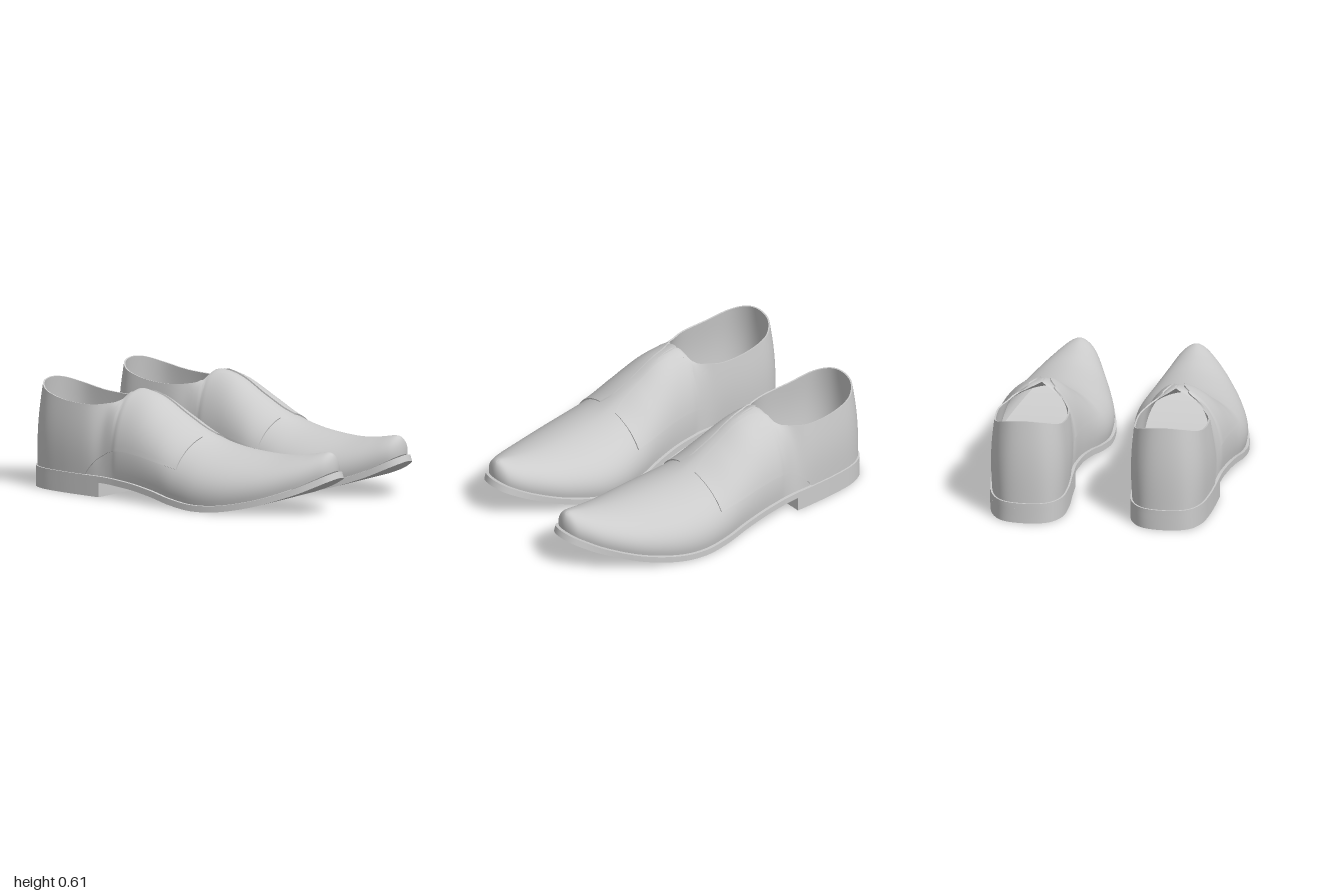
import * as THREE from 'three';
import { mergeVertices, toCreasedNormals } from 'three/addons/utils/BufferGeometryUtils.js';

// Stations from heel to toe. Lower edge of the upper: x, y, inner z, outer z
const LOWER = [
  [-0.985, 0.12, 0.4, 0.4], [-0.96, 0.12, 0.28, 0.52], [-0.87, 0.12, 0.215, 0.585],
  [-0.72, 0.12, 0.197, 0.615], [-0.55, 0.12, 0.2, 0.63], [-0.45, 0.12, 0.2, 0.635],
  [-0.38, 0.118, 0.2, 0.64], [-0.33, 0.115, 0.195, 0.645], [-0.2, 0.105, 0.178, 0.662],
  [-0.05, 0.083, 0.145, 0.683], [0.09, 0.055, 0.108, 0.703], [0.25, 0.037, 0.075, 0.71],
  [0.42, 0.047, 0.075, 0.685], [0.62, 0.09, 0.122, 0.62], [0.8, 0.155, 0.183, 0.53],
  [0.91, 0.21, 0.23, 0.452], [0.957, 0.238, 0.272, 0.402], [0.975, 0.25, 0.335, 0.335],
];
// Collar rim, then tongue and vamp ridge: x, y, inner z, outer z
const UPPER = [
  [-0.955, 0.61, 0.4, 0.4], [-0.935, 0.597, 0.3, 0.5], [-0.86, 0.563, 0.227, 0.573],
  [-0.72, 0.53, 0.205, 0.6], [-0.56, 0.52, 0.205, 0.6], [-0.46, 0.528, 0.235, 0.56],
  [-0.39, 0.545, 0.28, 0.515], [-0.345, 0.605, 0.385, 0.385], [-0.2, 0.572, 0.385, 0.385],
  [-0.05, 0.487, 0.385, 0.385], [0.12, 0.395, 0.385, 0.385], [0.25, 0.347, 0.385, 0.385],
  [0.42, 0.322, 0.375, 0.375], [0.62, 0.315, 0.36, 0.36], [0.79, 0.333, 0.345, 0.345],
  [0.89, 0.352, 0.337, 0.337], [0.93, 0.356, 0.335, 0.335], [0.95, 0.348, 0.335, 0.335],
];
const N = 2 * (LOWER.length - 1);

// Closed rail: heel, along the inner side to the toe, back along the outer side
function rail(rows) {
  const inner = rows.map(([x, y, zi]) => new THREE.Vector3(x, y, zi));
  const outer = rows.slice(1, -1).reverse().map(([x, y, , zo]) => new THREE.Vector3(x, y, zo));
  return new THREE.CatmullRomCurve3([...inner, ...outer], true, 'catmullrom', 0.5);
}
const lower = rail(LOWER), upper = rail(UPPER);
const wrap = t => ((t % 1) + 1) % 1;

// Piecewise linear lookup
function lookup(table, x) {
  if (x <= table[0][0]) return table[0][1];
  for (let i = 1; i < table.length; i++) {
    const [x0, y0] = table[i - 1], [x1, y1] = table[i];
    if (x <= x1) return y0 + (y1 - y0) * (x - x0) / (x1 - x0);
  }
  return table[table.length - 1][1];
}

// Point on the upper: straight walls at the heel, rounded arch over the foot
function skin(t, v) {
  const b = lower.getPoint(wrap(t)), top = upper.getPoint(wrap(t));
  const r = THREE.MathUtils.smoothstep(b.x, -0.5, -0.33);
  const a = v * Math.PI / 2;
  const side = (1 - r) * (1 - v) + r * (Math.cos(a) + 0.14 * Math.sin(Math.PI * v) * (1 - v));
  const rise = (1 - r) * v + r * Math.sin(a);
  const swell = 0.012 * (1 - r) * Math.sin(Math.PI * v);
  const p = new THREE.Vector3(
    top.x + (b.x - top.x) * side, b.y + (top.y - b.y) * rise, top.z + (b.z - top.z) * side);
  const n = outward(t);
  return p.addScaledVector(n, swell);
}

// Horizontal outward direction of the lower rail
function outward(t) {
  const d = lower.getTangent(wrap(t));
  return new THREE.Vector3(d.z, 0, -d.x).normalize();
}

function skinOffset(t, v, d) {
  const w = THREE.MathUtils.clamp(v, 0.02, 0.97), e = 0.002;
  const du = skin(t + e, w).sub(skin(t - e, w));
  const dv = skin(t, w + 0.01).sub(skin(t, w - 0.01));
  return skin(t, v).addScaledVector(dv.cross(du).normalize(), d);
}

function solve(f) {
  let a = 0, b = 1;
  for (let i = 0; i < 18; i++) {
    const m = (a + b) / 2;
    if (f(m)) a = m; else b = m;
  }
  return (a + b) / 2;
}

// Surface through a grid of points
function grid(nu, nv, fn) {
  const pos = [], idx = [];
  for (let i = 0; i <= nu; i++) for (let j = 0; j <= nv; j++) pos.push(...fn(i, j).toArray());
  for (let i = 0; i < nu; i++) for (let j = 0; j < nv; j++) {
    const a = i * (nv + 1) + j, b = a + nv + 1;
    idx.push(a, a + 1, b, b, a + 1, b + 1);
  }
  const g = new THREE.BufferGeometry();
  g.setAttribute('position', new THREE.Float32BufferAttribute(pos, 3));
  g.setIndex(idx);
  return mergeVertices(g, 1e-4);
}

// Vamp, tongue and lining
function upperGeometry() {
  const g = grid(204, 18, (i, j) => skin(i / 204, j / 18));
  g.computeVertexNormals();
  return g;
}

// Overlaid quarter panel that wraps the heel and forms both lace facings
const SEAM = [[-0.56, 0], [-0.555, 0.125], [-0.53, 0.16], [-0.48, 0.21], [-0.4, 0.26], [-0.34, 0.277],
  [-0.27, 0.28], [-0.15, 0.268], [0.15, 0.215]];
const GAP = [[-0.38, 0], [-0.33, 0.075], [-0.27, 0.045], [-0.2, 0.03], [-0.05, 0.03], [0.05, 0.042],
  [0.12, 0.075]];
function quarterGeometry() {
  const nu = 162, nv = 18, end = 10.15 / N;
  const limits = [];
  return toCreasedNormals(grid(nu, nv, (i, j) => {
    const k = THREE.MathUtils.clamp((i - 1) / (nu - 2), 0, 1);
    const t = (2 * k - 1) * end;
    if (!limits[i]) {
      const x = lower.getPoint(wrap(t)).x, zTop = upper.getPoint(wrap(t)).z;
      const seam = lookup(SEAM, x), gap = lookup(GAP, x);
      limits[i] = [
        seam < 0.122 ? 0 : solve(v => skin(t, v).y < seam),
        gap < 0.002 ? 1 : solve(v => Math.abs(skin(t, v).z - zTop) > gap),
      ];
    }
    const [lo, hi] = limits[i];
    const v = lo + (hi - lo) * THREE.MathUtils.clamp((j - 1) / (nv - 2), 0, 1);
    const edge = i === 0 || i === nu || j === 0 || j === nv;
    return skinOffset(t, v, edge ? -0.001 : 0.008);
  }), 0.7);
}

// Outline of the sole, slightly wider than the upper
const welt = t => lower.getPoint(wrap(t)).addScaledVector(outward(t), 0.018);

function soleGeometry() {
  const n = 204, thick = 0.036;
  return toCreasedNormals(grid(n, 3, (i, j) => {
    const t = i / n, p = welt(t);
    if (j === 0 || j === 3) p.add(welt(1 - t)).multiplyScalar(0.5);
    if (j < 2) {
      p.y -= thick;
      p.x += 0.012 * THREE.MathUtils.smoothstep(p.x, 0.7, 1);
    }
    return p;
  }), 0.6);
}

// Heel block with a slanted front edge
function heelGeometry() {
  const pts = [], from = -5 / N, to = 5.43 / N;
  for (let i = 0; i <= 64; i++) {
    const p = welt(from + (to - from) * i / 64);
    pts.push(new THREE.Vector2(p.x, -p.z));
  }
  const g = new THREE.ExtrudeGeometry(new THREE.Shape(pts), { depth: 0.085, bevelEnabled: false });
  g.rotateX(-Math.PI / 2);
  return toCreasedNormals(g, 0.6);
}

export function createModel() {
  const model = new THREE.Group();
  model.name = 'pairOfShoes';
  const material = new THREE.MeshStandardMaterial({ color: 0xcccccc, side: THREE.DoubleSide });
  const parts = {
    upper: upperGeometry(), quarterPanel: quarterGeometry(),
    sole: soleGeometry(), heel: heelGeometry(),
  };
  for (const [name, mirror] of [['frontShoe', 1], ['backShoe', -1]]) {
    const shoe = new THREE.Group();
    shoe.name = name;
    for (const [part, geometry] of Object.entries(parts)) {
      const mesh = new THREE.Mesh(geometry, material);
      mesh.name = part;
      shoe.add(mesh);
    }
    shoe.scale.z = mirror;
    model.add(shoe);
  }
  return model;
}
